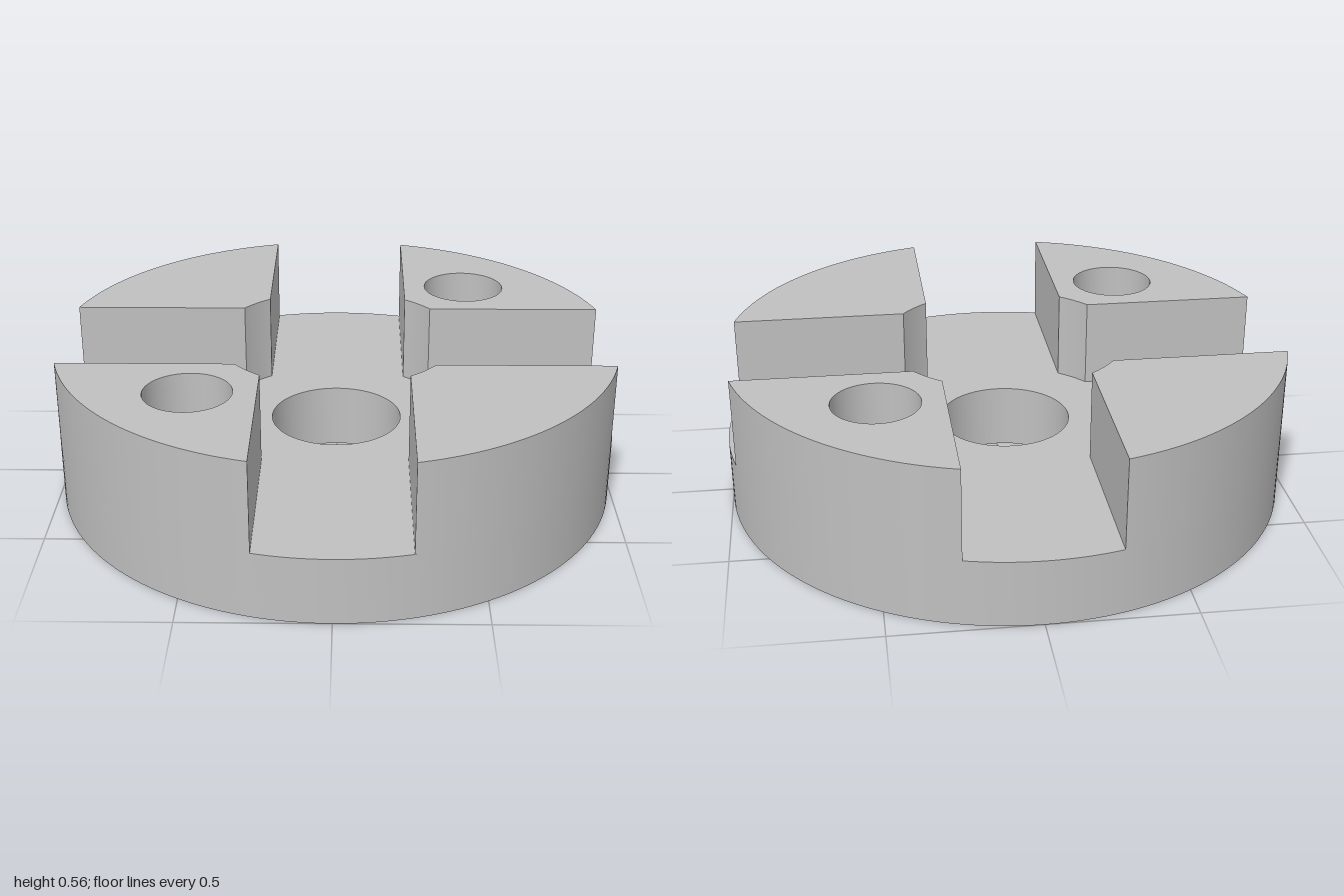
import * as THREE from 'three';
import { toCreasedNormals } from 'three/addons/utils/BufferGeometryUtils.js';

const OUTER = 1, BORE = 0.235, BASE_H = 0.235, TOTAL_H = 0.555;
const SLOT = 0.255;        // half width of the cross slots
const RELIEF = 0.43;       // radius that trims the inner jaw corners
const BOLT_AT = 0.485, BOLT_R = 0.15;

function circle(x, y, r) {
  return new THREE.Path().absarc(x, y, r, 0, Math.PI * 2, true);
}

// Extrude a plan outline upwards between two heights, smoothing only the round walls
function slab(shape, from, to, segments) {
  const geo = new THREE.ExtrudeGeometry(shape, {
    depth: to - from, bevelEnabled: false, curveSegments: segments,
  });
  geo.rotateX(-Math.PI / 2);
  geo.translate(0, from, 0);
  return toCreasedNormals(geo, Math.PI / 7);
}

// Quarter jaw: outer rim arc, two straight slot walls and a concave-free inner arc
function jawShape(withHole) {
  const a = Math.asin(SLOT / OUTER), b = Math.asin(SLOT / RELIEF);
  const shape = new THREE.Shape();
  shape.absarc(0, 0, OUTER, a, Math.PI / 2 - a, false);
  shape.absarc(0, 0, RELIEF, Math.PI / 2 - b, b, true);
  shape.closePath();
  if (withHole) shape.holes.push(circle(BOLT_AT, BOLT_AT, BOLT_R));
  return shape;
}

export function createModel() {
  const model = new THREE.Group();
  model.name = 'slottedCoupling';
  const metal = new THREE.MeshStandardMaterial({ color: 0xc0c0c0 });
  metal.name = 'light grey metal';

  // Base disc with centre bore and two bolt holes
  const disc = new THREE.Shape().absarc(0, 0, OUTER, 0, Math.PI * 2, false);
  disc.holes.push(
    circle(0, 0, BORE),
    circle(BOLT_AT, BOLT_AT, BOLT_R),
    circle(-BOLT_AT, -BOLT_AT, BOLT_R),
  );
  const base = new THREE.Mesh(slab(disc, 0, BASE_H, 96), metal);
  base.name = 'baseDisc';
  model.add(base);

  // Four jaws, every other one drilled through
  const names = ['backLeftJaw', 'backRightJaw', 'frontRightJaw', 'frontLeftJaw'];
  names.forEach((name, i) => {
    const jaw = new THREE.Mesh(slab(jawShape(i % 2 === 0), BASE_H, TOTAL_H, 48), metal);
    jaw.name = name;
    jaw.rotation.y = i * Math.PI / 2;
    model.add(jaw);
  });
  return model;
}
